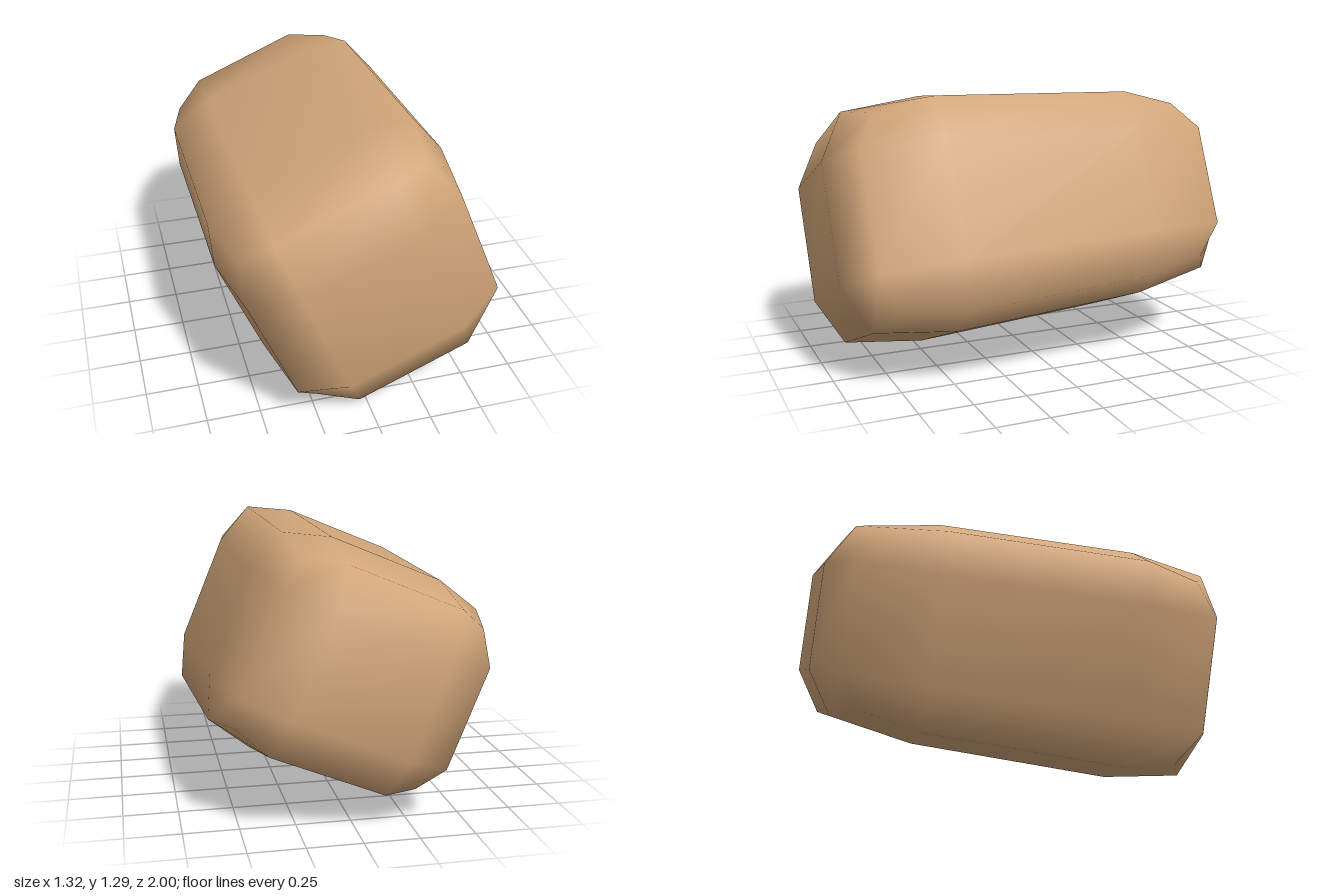
import * as THREE from 'three';
import { mergeVertices } from 'three/addons/utils/BufferGeometryUtils.js';

// Rounded block: a 3-segment box whose edges and corners are pulled inward.
function roundedBlock() {
  let geo = new THREE.BoxGeometry(2, 2, 2, 3, 3, 3);
  geo.deleteAttribute('uv');
  geo.deleteAttribute('normal');
  geo = mergeVertices(geo, 1e-3);

  const pos = geo.attributes.position;
  const pull = [0, 1, 0.88, 0.78]; // by number of outer axes: face, edge, corner
  const inner = 0.49;
  const tilt = THREE.MathUtils.degToRad(22.6);
  const c = Math.cos(tilt), s = Math.sin(tilt);

  for (let i = 0; i < pos.count; i++) {
    const p = [pos.getX(i), pos.getY(i), pos.getZ(i)];
    const outer = p.filter((a) => Math.abs(a) > 0.9).length;
    const [a, b, z] = p.map((q) => Math.sign(q) * (Math.abs(q) > 0.9 ? pull[outer] : inner));
    // Slight taper toward the back, then roll and a small lean
    const u = a * 0.57 * (1 + 0.016 * z);
    const v = b * 0.535 * (1 + 0.082 * z);
    const x = u * c - v * s;
    const y = u * s + v * c;
    pos.setXYZ(i, x + 0.03 * z - 0.013, y + 0.655 - 0.015 * z, z * 0.993 - 0.02 * x + 0.013 * y);
  }
  geo.computeVertexNormals();
  return geo;
}

export function createModel() {
  const group = new THREE.Group();
  const block = new THREE.Mesh(roundedBlock(), new THREE.MeshStandardMaterial({ color: 0xd2a679 }));
  block.name = 'roundedBlock';
  group.add(block);
  return group;
}
